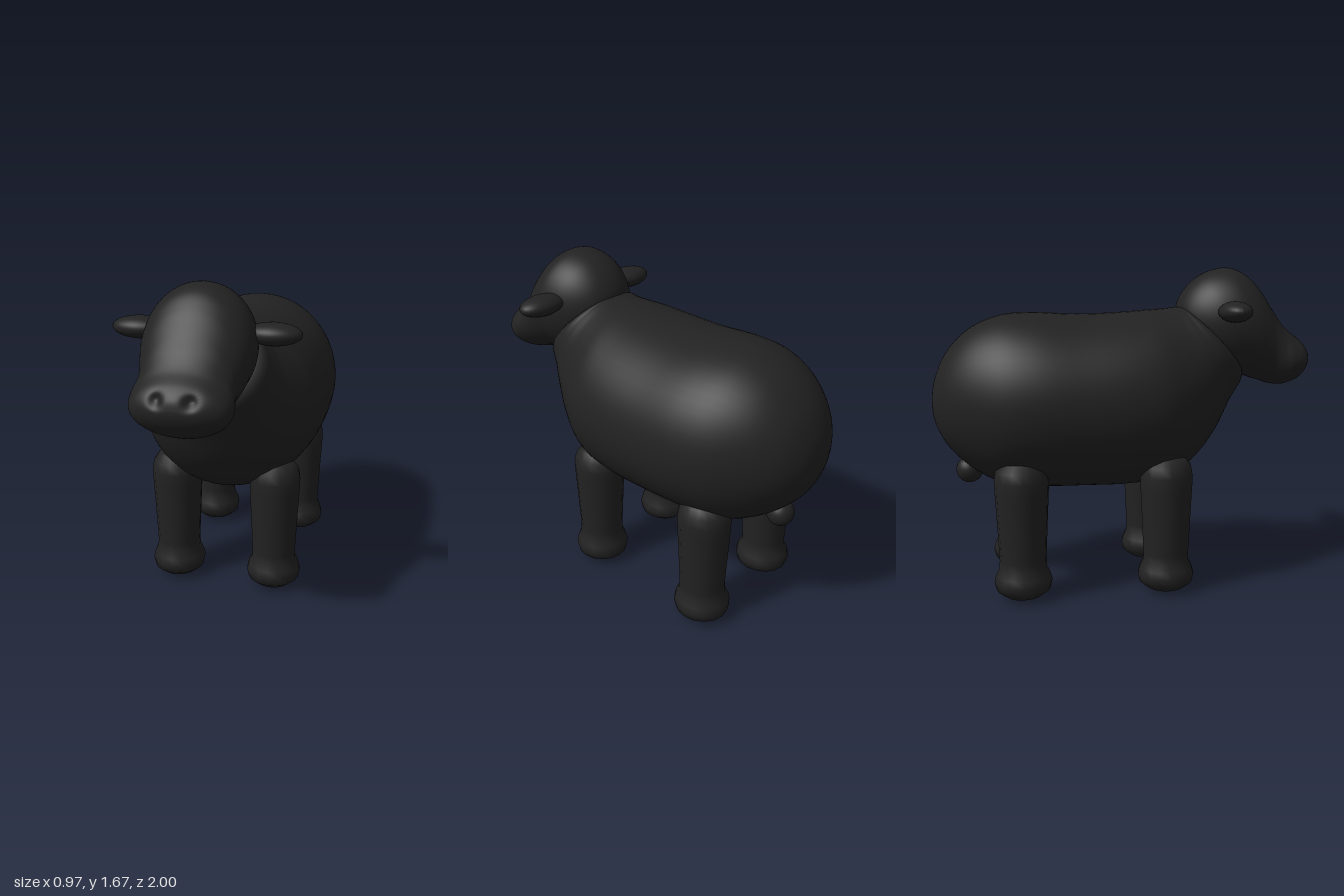
import * as THREE from 'three';
import { mergeVertices } from 'three/addons/utils/BufferGeometryUtils.js';

// Smooth closed skin through rings [topZ, topY, bottomZ, bottomY, halfWidth], ordered back to front.
// An optional rule may adjust each point.
function loft(rings, steps, sides, rule) {
  const top = new THREE.CatmullRomCurve3(rings.map(r => new THREE.Vector3(r[4], r[1], r[0])));
  const bottom = new THREE.CatmullRomCurve3(rings.map(r => new THREE.Vector3(r[4], r[3], r[2])));
  const positions = [], index = [];
  for (let i = 0; i <= steps; i++) {
    const t = top.getPoint(i / steps), b = bottom.getPoint(i / steps);
    const width = (t.x + b.x) / 2;
    for (let j = 0; j < sides; j++) {
      const a = (j / sides) * Math.PI * 2, c = Math.cos(a);
      const p = new THREE.Vector3(
        Math.sin(a) * width,
        (t.y + b.y) / 2 + c * (t.y - b.y) / 2,
        (t.z + b.z) / 2 + c * (t.z - b.z) / 2
      );
      if (rule) rule(p);
      positions.push(p.x, p.y, p.z);
      if (i < steps) {
        const k = i * sides + j, n = i * sides + (j + 1) % sides;
        index.push(k, k + sides, n, n, k + sides, n + sides);
      }
    }
  }
  let geo = new THREE.BufferGeometry();
  geo.setAttribute('position', new THREE.Float32BufferAttribute(positions, 3));
  geo.setIndex(index);
  geo = mergeVertices(geo, 1e-5);
  geo.computeVertexNormals();
  return geo;
}

export function createModel() {
  const model = new THREE.Group();
  const black = new THREE.MeshStandardMaterial({ color: 0x222222 });
  black.name = 'soft black';

  const add = (name, geo, x = 0, y = 0, z = 0) => {
    const mesh = new THREE.Mesh(geo, black);
    mesh.name = name;
    mesh.position.set(x, y, z);
    model.add(mesh);
    return mesh;
  };

  // Barrel body, tilting forward into the neck
  add('body', loft([
    [-1, 0.98, -1, 0.98, 0],
    [-0.997, 1.03, -0.997, 0.93, 0.05],
    [-0.98, 1.11, -0.98, 0.86, 0.125],
    [-0.92, 1.24, -0.92, 0.75, 0.235],
    [-0.8, 1.36, -0.8, 0.635, 0.345],
    [-0.65, 1.425, -0.65, 0.555, 0.43],
    [-0.5, 1.44, -0.45, 0.53, 0.472],
    [-0.25, 1.43, -0.2, 0.525, 0.485],
    [0, 1.44, 0, 0.525, 0.48],
    [0.12, 1.45, 0.2, 0.55, 0.455],
    [0.2, 1.455, 0.35, 0.64, 0.4],
    [0.25, 1.46, 0.47, 0.78, 0.345],
    [0.285, 1.465, 0.56, 0.95, 0.3],
    [0.3, 1.465, 0.64, 1.1, 0.255],
    [0.48, 1.3, 0.52, 1.26, 0]
  ], 90, 56));

  // Rounded skull running down to a blunt muzzle with two nostril dents
  add('head', loft([
    [0.34, 1.33, 0.34, 1.33, 0],
    [0.285, 1.45, 0.42, 1.19, 0.14],
    [0.325, 1.55, 0.52, 1.12, 0.21],
    [0.42, 1.635, 0.6, 1.1, 0.25],
    [0.55, 1.67, 0.66, 1.095, 0.262],
    [0.64, 1.64, 0.7, 1.08, 0.256],
    [0.71, 1.575, 0.74, 1.07, 0.24],
    [0.78, 1.475, 0.78, 1.055, 0.223],
    [0.83, 1.4, 0.81, 1.048, 0.225],
    [0.88, 1.345, 0.86, 1.045, 0.234],
    [0.945, 1.297, 0.92, 1.065, 0.212],
    [0.985, 1.25, 0.97, 1.115, 0.14],
    [0.998, 1.21, 0.994, 1.16, 0.06],
    [1, 1.185, 1, 1.185, 0]
  ], 120, 72, p => {
    if (p.z < 0.85) return;
    const d = ((Math.abs(p.x) - 0.075) ** 2 + (p.y - 1.24) ** 2) / 0.0007;
    p.z -= 0.028 * Math.exp(-d);
  }));

  // Flat paddle ears, slimmer where they join the head
  for (const [name, side] of [['leftEar', 1], ['rightEar', -1]]) {
    const ear = new THREE.SphereGeometry(1, 32, 24);
    const p = ear.attributes.position;
    for (let i = 0; i < p.count; i++) {
      const out = p.getX(i) * side;
      const slim = out < 0 ? 1 + 0.15 * out : 1;
      p.setXYZ(i, p.getX(i) * 0.14, p.getY(i) * 0.053 * slim, p.getZ(i) * 0.083 * slim);
    }
    ear.computeVertexNormals();
    add(name, ear, side * 0.31, 1.443, 0.512);
  }

  // Stout legs with domed tops and bulging hooves
  const legProfile = [
    [0, 0.004], [0.03, 0.004], [0.095, 0.022], [0.138, 0.055], [0.147, 0.095], [0.138, 0.13],
    [0.12, 0.168], [0.118, 0.21], [0.127, 0.4], [0.135, 0.56], [0.137, 0.62],
    [0.128, 0.67], [0.1, 0.707], [0.055, 0.726], [0, 0.731]
  ].map(([r, y]) => new THREE.Vector2(r, y));
  const legGeo = new THREE.LatheGeometry(legProfile, 16);
  for (const [end, z] of [['front', 0.18], ['back', -0.56]])
    for (const [side, x] of [['Left', 0.266], ['Right', -0.266]])
      add(end + side + 'Leg', legGeo, x, -0.004, z).scale.x = 0.97;

  // Small round tail tucked under the rump
  add('tail', new THREE.SphereGeometry(0.07, 24, 16), 0, 0.622, -0.82);

  return model;
}
